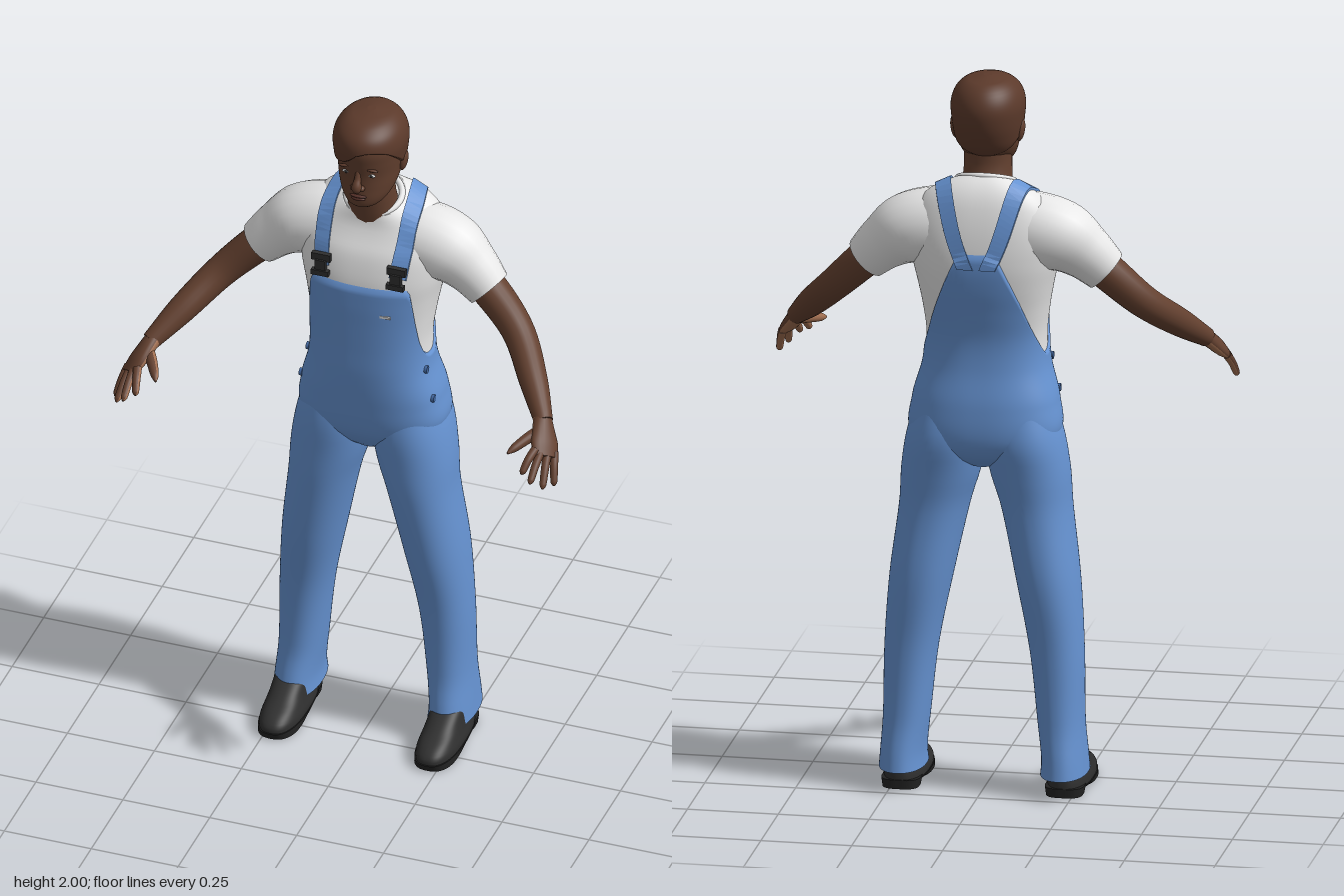
import * as THREE from 'three';

const paint = (name, color, side = THREE.FrontSide) => {
  const m = new THREE.MeshStandardMaterial({ color, side });
  m.name = name;
  return m;
};

// Smooth interpolation of table rows keyed by their first value.
function sampler(rows) {
  const slope = (i, c) => {
    const a = rows[Math.max(i - 1, 0)], b = rows[Math.min(i + 1, rows.length - 1)];
    return (b[c] - a[c]) / (b[0] - a[0]);
  };
  return (k) => {
    let i = 0;
    while (i < rows.length - 2 && k > rows[i + 1][0]) i++;
    const a = rows[i], b = rows[i + 1], h = b[0] - a[0];
    const t = THREE.MathUtils.clamp((k - a[0]) / h, 0, 1), t2 = t * t, t3 = t2 * t;
    return a.slice(1).map((p, j) => (2 * t3 - 3 * t2 + 1) * p + (t3 - 2 * t2 + t) * h * slope(i, j + 1)
      + (3 * t2 - 2 * t3) * b[j + 1] + (t3 - t2) * h * slope(i + 1, j + 1));
  };
}

// Body surface from rows [y, centreX, halfWidth, backZ, frontZ]; angle 0 is the front.
function body(rows, n = 2) {
  const at = sampler(rows), pw = (v) => Math.sign(v) * Math.abs(v) ** (2 / n);
  return (a, y, off = 0) => {
    const [cx, rx, zb, zf] = at(y);
    return new THREE.Vector3(cx + (rx + off) * pw(Math.sin(a)), y, (zb + zf) / 2 + ((zf - zb) / 2 + off) * pw(Math.cos(a)));
  };
}

// Closed rings swept by fn(u, v); the first half of each ring may take a second material.
function rings(nu, nv, fn, { caps = true, split = false } = {}) {
  const pos = [], parts = [[], []];
  const add = (p) => pos.push(p.x, p.y, p.z) / 3 - 1;
  for (let v = 0; v <= nv; v++) for (let u = 0; u < nu; u++) add(fn(u / nu, v / nv));
  for (let v = 0; v < nv; v++) for (let u = 0; u < nu; u++) {
    const w = (u + 1) % nu, a = v * nu + u, b = v * nu + w;
    parts[split && u < nu / 2 ? 1 : 0].push(a, b, b + nu, a, b + nu, a + nu);
  }
  if (caps) for (const v of [0, 1]) {
    const ring = Array.from({ length: nu }, (_, u) => fn(u / nu, v));
    const mid = add(ring.reduce((s, p) => s.add(p), new THREE.Vector3()).divideScalar(nu));
    const first = ring.map(add)[0];
    for (let u = 0; u < nu; u++) {
      const a = first + u, b = first + (u + 1) % nu;
      parts[0].push(mid, ...(v ? [a, b] : [b, a]));
    }
  }
  const g = new THREE.BufferGeometry();
  g.setAttribute('position', new THREE.Float32BufferAttribute(pos, 3));
  g.setIndex([...parts[0], ...parts[1]]);
  if (split) {
    g.addGroup(0, parts[0].length, 0);
    g.addGroup(parts[0].length, parts[1].length, 1);
  }
  g.computeVertexNormals();
  return g;
}

const shell = (P, lo, hi, off, nv, caps) => rings(96, nv, (u, v) => {
  const a = u * Math.PI * 2, b = lo(a), t = hi(a);
  return P(a, b + (t - b) * v, off(v));
}, { caps });

// Limb along points [x, y, z, width, thickness], W giving the width direction.
function limb(pts, W = [0, 0, 1], opt = {}) {
  const curve = new THREE.CatmullRomCurve3(pts.map((p) => new THREE.Vector3(...p)));
  const size = sampler(pts.map((p, i) => [i / (pts.length - 1), p[3], p[4] ?? p[3]]));
  return rings(20, pts.length * 5, (u, v) => {
    const T = curve.getTangent(v), w = new THREE.Vector3(...W);
    w.addScaledVector(T, -w.dot(T)).normalize();
    const N = T.clone().cross(w), a = u * Math.PI * 2, [rw, rt] = size(v);
    return curve.getPoint(v).addScaledVector(w, Math.cos(a) * rw).addScaledVector(N, Math.sin(a) * rt);
  }, opt);
}

function mirrored(g) {
  const m = g.clone().applyMatrix4(new THREE.Matrix4().makeScale(-1, 1, 1)), i = m.index.array;
  for (let k = 0; k < i.length; k += 3) [i[k], i[k + 1]] = [i[k + 1], i[k]];
  return m;
}

export function createModel() {
  const skin = paint('skin', 0x63402f), palmSkin = paint('palm skin', 0xa06e50), hairMat = paint('hair', 0x5c3a2b, THREE.DoubleSide);
  const lipMat = paint('lips', 0x553028), white = paint('shirt white', 0xe8e8e8, THREE.DoubleSide);
  const denim = paint('denim blue', 0x6693d2, THREE.DoubleSide), black = paint('shoe black', 0x2f2f2f);
  const soleMat = paint('sole black', 0x222222), seam = paint('button blue', 0x41659c);
  const root = new THREE.Group();
  const add = (name, g, mat) => {
    const m = new THREE.Mesh(g, mat);
    m.name = name;
    root.add(m);
    return m;
  };
  const pair = (name, g, mat) => {
    add(name + 'Right', mirrored(g), mat);
    return add(name + 'Left', g, mat);
  };
  const cast = (meshes, o, d) => new THREE.Raycaster(o, d).intersectObjects(meshes)[0]?.point ?? o.clone().addScaledVector(d, 0.45);
  const frontZ = (meshes, x, y) => cast(meshes, new THREE.Vector3(x, y, 0.5), new THREE.Vector3(0, 0, -1)).z;

  // Shirt: torso tilting up towards the nape, with short sleeves
  const trunk = body([
    [0.92, 0, 0.03, -0.19, -0.06], [0.95, 0, 0.12, -0.23, -0.03], [1.0, 0, 0.195, -0.255, -0.002],
    [1.1, 0, 0.193, -0.253, 0.013], [1.2, 0, 0.167, -0.234, 0.02], [1.28, 0, 0.163, -0.23, 0.02],
    [1.36, 0, 0.172, -0.243, 0.02], [1.43, 0, 0.185, -0.257, 0.02], [1.5, 0, 0.2, -0.264, 0.016],
    [1.58, 0, 0.207, -0.258, -0.005], [1.64, 0, 0.185, -0.238, -0.028], [1.68, 0, 0.145, -0.212, -0.043],
    [1.71, 0, 0.085, -0.185, -0.048]], 2.5);
  const shirtSurface = (a, y, off) => {
    const p = trunk(a, y, off);
    p.y -= THREE.MathUtils.smoothstep(y, 1.55, 1.71) * (p.z + 0.12) * 0.42;
    return p;
  };
  const torso = add('shirtTorso', shell(shirtSurface, () => 1.15, () => 1.71, () => 0, 36, true), white);
  const sleeve = pair('sleeve', limb([
    [0.06, 1.585, -0.135, 0.09, 0.1], [0.14, 1.58, -0.138, 0.1, 0.105], [0.215, 1.562, -0.135, 0.096, 0.098],
    [0.275, 1.522, -0.128, 0.075, 0.078], [0.33, 1.47, -0.118, 0.06, 0.063]]), white);
  const collar = new THREE.TorusGeometry(0.077, 0.009, 10, 40);
  collar.rotateX(Math.PI / 2 + 0.38).scale(1, 1, 0.9).translate(0, 1.708, -0.115);
  add('collar', collar, white);

  // Overalls: bib and seat with a curved upper edge, then the trouser legs
  const edge = sampler([[0, 1.49], [0.66, 1.49], [0.72, 1.478], [0.82, 1.435], [0.97, 1.37], [1.17, 1.3], [1.42, 1.25],
    [1.7, 1.238], [2.0, 1.275], [2.3, 1.335], [2.6, 1.415], [2.84, 1.49], [2.96, 1.535], [3.15, 1.54]]);
  const bib = add('bibAndSeat', shell(trunk, () => 0.92, (a) => edge(Math.min(a, Math.PI * 2 - a))[0],
    (v) => (v === 1 ? -0.002 : 0.007), 44, false), denim);
  const leg = body([
    [0.06, 0.222, 0.064, -0.262, -0.025], [0.1, 0.222, 0.061, -0.256, -0.032], [0.2, 0.213, 0.063, -0.24, -0.053],
    [0.4, 0.2, 0.073, -0.235, -0.05], [0.6, 0.174, 0.086, -0.245, -0.02], [0.8, 0.14, 0.096, -0.236, 0],
    [0.9, 0.122, 0.108, -0.246, 0.003], [1.0, 0.107, 0.107, -0.258, 0.003], [1.1, 0.1, 0.085, -0.24, -0.015]], 2.2);
  pair('trouserLeg', shell(leg, () => 0.06, () => 1.1, () => 0, 40, true), denim);

  // Straps laid over the shoulders
  const strapX = sampler([[0.5, 0.108], [1.2, 0.118], [1.7, 0.112], [2.2, 0.078], [2.85, 0.03]]);
  const strapPoint = (v, side, lift) => {
    const a = 0.55 + v * 2.3, d = new THREE.Vector3(0, Math.sin(a), Math.cos(a));
    const c = new THREE.Vector3(strapX(a)[0] + side * 0.022, 1.45, -0.12);
    return cast([torso, sleeve, bib], c.addScaledVector(d, 0.5), d.clone().negate()).addScaledVector(d, lift);
  };
  const corners = [[-1, 0.008], [1, 0.008], [1, -0.004], [-1, -0.004]];
  const strap = rings(4, 40, (u, v) => strapPoint(v, ...corners[Math.round(u * 4) % 4])).toNonIndexed();
  strap.setIndex([...Array(strap.attributes.position.count).keys()]);
  strap.computeVertexNormals();
  pair('strap', strap, denim);

  // Buckles, side buttons and the small bib tag
  for (const [w, h, y] of [[0.054, 0.022, 1.553], [0.03, 0.032, 1.53], [0.05, 0.016, 1.508]]) {
    pair('buckle', new THREE.BoxGeometry(w, h, 0.014).translate(0.108, y, frontZ([torso, bib], 0.108, y) + 0.014), black);
  }
  for (const y of [1.205, 1.115]) {
    const p = cast([bib], new THREE.Vector3(0.5, y, -0.06), new THREE.Vector3(-1, 0, 0));
    pair('sideButton', new THREE.CylinderGeometry(0.011, 0.011, 0.008, 16).rotateZ(Math.PI / 2).translate(p.x + 0.002, y, p.z), seam);
  }
  add('bibTag', new THREE.BoxGeometry(0.03, 0.007, 0.006).translate(0.08, 1.405, frontZ([bib], 0.08, 1.405)), white);

  // Arms and hands
  pair('arm', limb([[0.27, 1.52, -0.125, 0.05], [0.33, 1.47, -0.118, 0.051], [0.425, 1.378, -0.082, 0.045],
    [0.505, 1.295, 0.015, 0.039], [0.565, 1.23, 0.1, 0.026]]), skin);
  const across = [-0.65, 0.4, 0.65], hand = [skin, palmSkin];
  pair('palm', limb([[0.558, 1.238, 0.09, 0.025, 0.023], [0.572, 1.216, 0.12, 0.034, 0.021],
    [0.586, 1.192, 0.15, 0.042, 0.019], [0.599, 1.17, 0.178, 0.036, 0.012]], across, { split: true }), hand);
  const tips = [[0.555, 1.15, 0.25], [0.585, 1.135, 0.266], [0.613, 1.11, 0.242], [0.631, 1.098, 0.2]];
  tips.forEach((tip, i) => {
    const o = 0.031 - i * 0.0205;
    const base = [0.592 + across[0] * o, 1.182 + across[1] * o, 0.165 + across[2] * o];
    const mid = base.map((b, k) => (b + tip[k]) / 2 + (k === 1 ? 0.006 : 0));
    const near = base.map((b, k) => b * 0.1 + tip[k] * 0.9);
    pair('finger', limb([[...base, 0.012], [...mid, 0.011], [...near, 0.009], [...tip, 0.003]], across, { split: true }), hand);
  });
  pair('thumb', limb([[0.566, 1.216, 0.118, 0.016], [0.54, 1.206, 0.16, 0.015], [0.516, 1.195, 0.203, 0.011],
    [0.506, 1.19, 0.224, 0.003]], across, { split: true }), hand);

  // Shoes: upper, sole and heel
  const upper = body([[0.015, 0.225, 0.058, -0.208, 0.092], [0.035, 0.225, 0.058, -0.208, 0.09], [0.055, 0.225, 0.053, -0.206, 0.065],
    [0.075, 0.225, 0.05, -0.204, 0.02], [0.11, 0.225, 0.048, -0.2, -0.04]], 2.5);
  const sole = body([[0, 0.225, 0.057, -0.1, 0.088], [0.02, 0.225, 0.061, -0.21, 0.096]], 2.5);
  const heel = body([[0, 0.225, 0.05, -0.21, -0.11], [0.025, 0.225, 0.054, -0.211, -0.1]], 3);
  pair('shoeUpper', shell(upper, () => 0.015, () => 0.11, () => 0, 14, true), black);
  pair('shoeSole', shell(sole, () => 0, () => 0.02, () => 0, 2, true), soleMat);
  pair('shoeHeel', shell(heel, () => 0, () => 0.025, () => 0, 2, true), soleMat);

  // Neck and head
  add('neck', limb([[0, 1.64, -0.12, 0.07, 0.085], [0, 1.7, -0.102, 0.066, 0.07], [0, 1.75, -0.092, 0.064, 0.066],
    [0, 1.81, -0.09, 0.066, 0.066]]), skin);
  const skull = body([
    [1.732, 0, 0.018, -0.05, -0.008], [1.742, 0, 0.042, -0.075, 0.008], [1.765, 0, 0.065, -0.125, 0.014],
    [1.8, 0, 0.08, -0.167, 0.014], [1.84, 0, 0.087, -0.19, 0.015], [1.88, 0, 0.092, -0.203, 0.022],
    [1.92, 0, 0.094, -0.206, 0.027], [1.955, 0, 0.084, -0.193, 0.017], [1.98, 0, 0.062, -0.168, -0.012],
    [1.992, 0, 0.036, -0.138, -0.048], [1.996, 0, 0.005, -0.1, -0.09]]);
  const head = add('head', shell(skull, () => 1.732, () => 1.996, () => 0, 40, true), skin);

  // Short hair with a fringe swept to one side
  const hairline = sampler([[0, 1.915], [0.35, 1.925], [0.8, 1.915], [1.2, 1.88], [1.5, 1.85], [1.9, 1.82], [2.4, 1.79], [3.14, 1.775],
    [3.9, 1.79], [4.4, 1.82], [4.8, 1.85], [5.1, 1.868], [5.5, 1.865], [5.95, 1.885], [6.29, 1.915]]);
  const hair = shell(skull, (a) => hairline(a)[0], () => 1.996, (v) => (v === 0 ? -0.001 : 0.007), 24, true);
  add('hair', hair.translate(0, 0.003, 0), hairMat);

  // Face
  const blob = (rx, ry, rz, x, y, z, tilt = 0) => new THREE.SphereGeometry(1, 20, 14).scale(rx, ry, rz).rotateZ(tilt).translate(x, y, z);
  const eyeZ = frontZ([head], 0.036, 1.85);
  pair('eyeWhite', blob(0.012, 0.005, 0.004, 0.036, 1.85, eyeZ), white);
  pair('iris', blob(0.0048, 0.0048, 0.003, 0.036, 1.85, eyeZ + 0.0025), black);
  pair('eyebrow', blob(0.02, 0.0045, 0.006, 0.037, 1.87, frontZ([head], 0.037, 1.87), -0.1), hairMat);
  pair('ear', blob(0.011, 0.032, 0.02, 0.091, 1.848, -0.098, -0.15), skin);
  add('nose', limb([[0, 1.865, 0.01, 0.007], [0, 1.838, 0.018, 0.009], [0, 1.815, 0.026, 0.014], [0, 1.802, 0.022, 0.01]], [1, 0, 0]), skin);
  pair('nostril', blob(0.009, 0.008, 0.01, 0.012, 1.81, 0.019), skin);
  add('upperLip', blob(0.024, 0.005, 0.008, 0, 1.78, 0.013), lipMat);
  add('lowerLip', blob(0.02, 0.006, 0.008, 0, 1.771, 0.012), lipMat);
  return root;
}
